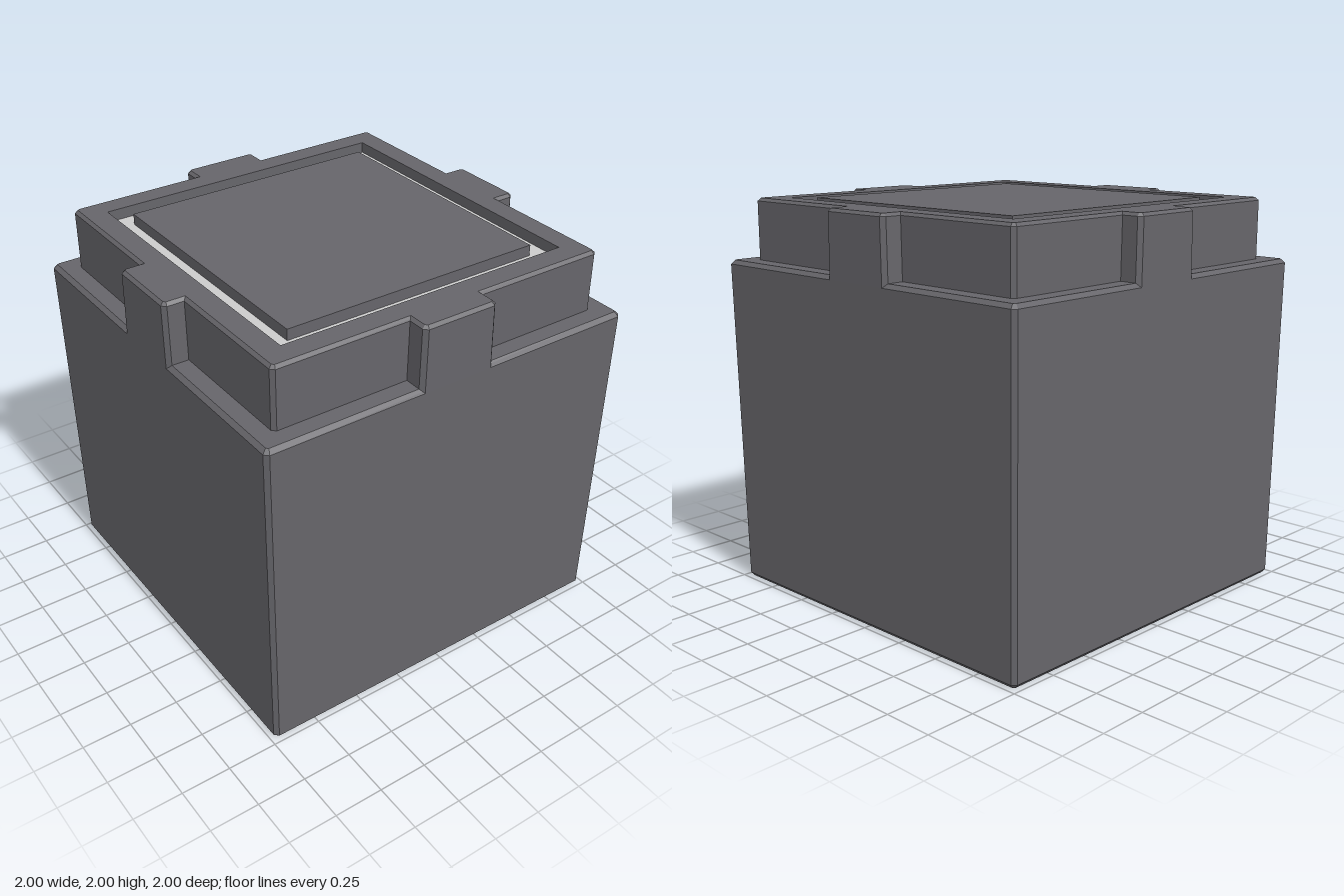
import * as THREE from 'three';

const dark = new THREE.MeshStandardMaterial({ color: 0x66656a, flatShading: true });
const light = new THREE.MeshStandardMaterial({ color: 0xcccccc });

// Skin a stack of rings, each counterclockwise from above, with optional end caps
function loft(rings, capBottom, capTop) {
  const pos = [];
  const tri = (a, b, c) => pos.push(...a, ...b, ...c);
  const n = rings[0].length;
  for (let r = 0; r < rings.length - 1; r++) {
    const lo = rings[r], hi = rings[r + 1];
    for (let i = 0; i < n; i++) {
      const j = (i + 1) % n;
      tri(lo[i], lo[j], hi[j]);
      tri(lo[i], hi[j], hi[i]);
    }
  }
  const first = rings[0], last = rings[rings.length - 1];
  for (let i = 1; i < n - 1; i++) {
    if (capBottom) tri(first[0], first[i + 1], first[i]);
    if (capTop) tri(last[0], last[i], last[i + 1]);
  }
  const geo = new THREE.BufferGeometry();
  geo.setAttribute('position', new THREE.Float32BufferAttribute(pos, 3));
  geo.computeVertexNormals();
  return geo;
}

// Square ring of half-width h with corners cut by c
function squareRing(h, c, y) {
  const k = h - c;
  return [[-k, h], [k, h], [h, k], [h, -k], [k, -h], [-k, -h], [-h, -k], [-h, k]]
    .map(([x, z]) => [x, y, z]);
}

// Tab outline: half-width w, front at z, front corners cut by c
function tabRing(w, z, c, y) {
  const back = 0.88;
  return [[-w, back], [-w, z - c], [-w + c, z], [w - c, z], [w, z - c], [w, back]]
    .map(([x, zz]) => [x, y, zz]);
}

export function createModel() {
  const group = new THREE.Group();
  const add = (name, geo, mat) => {
    const mesh = new THREE.Mesh(geo, mat);
    mesh.name = name;
    group.add(mesh);
    return mesh;
  };
  const floorY = 1.945;

  // Tapered body, shoulder, raised rim and recess wall in one skin
  add('body', loft([
    squareRing(0.965, 0.01, 0),
    squareRing(0.982, 0.02, 0.02),
    squareRing(1.0, 0.02, 1.67),
    squareRing(0.98, 0.01, 1.69),
    squareRing(0.895, 0.018, 1.69),
    squareRing(0.895, 0.018, 1.985),
    squareRing(0.88, 0.01, 2),
    squareRing(0.77, 0, 2),
    squareRing(0.77, 0, floorY),
  ], true, false), dark);

  // Tabs running up the middle of each side
  const tabGeo = loft([
    tabRing(0.205, 1.0, 0.02, 1.67),
    tabRing(0.2, 1.0, 0.02, 1.985),
    tabRing(0.185, 0.985, 0.01, 2),
  ], false, true);
  ['front', 'left', 'back', 'right'].forEach((side, i) => {
    add(side + 'Tab', tabGeo, dark).rotation.y = i * Math.PI / 2;
  });

  // Light strip on the recess floor
  const strip = new THREE.Shape([[-0.77, -0.77], [0.77, -0.77], [0.77, 0.77], [-0.77, 0.77]]
    .map(([x, y]) => new THREE.Vector2(x, y)));
  strip.holes.push(new THREE.Path([[-0.67, -0.67], [-0.67, 0.67], [0.67, 0.67], [0.67, -0.67]]
    .map(([x, y]) => new THREE.Vector2(x, y))));
  const stripGeo = new THREE.ShapeGeometry(strip);
  stripGeo.rotateX(-Math.PI / 2);
  add('lightStrip', stripGeo, light).position.y = floorY;

  // Raised centre panel
  const panelHeight = 2 - floorY;
  add('topPanel', new THREE.BoxGeometry(1.355, panelHeight, 1.355), dark)
    .position.y = floorY + panelHeight / 2;

  return group;
}
